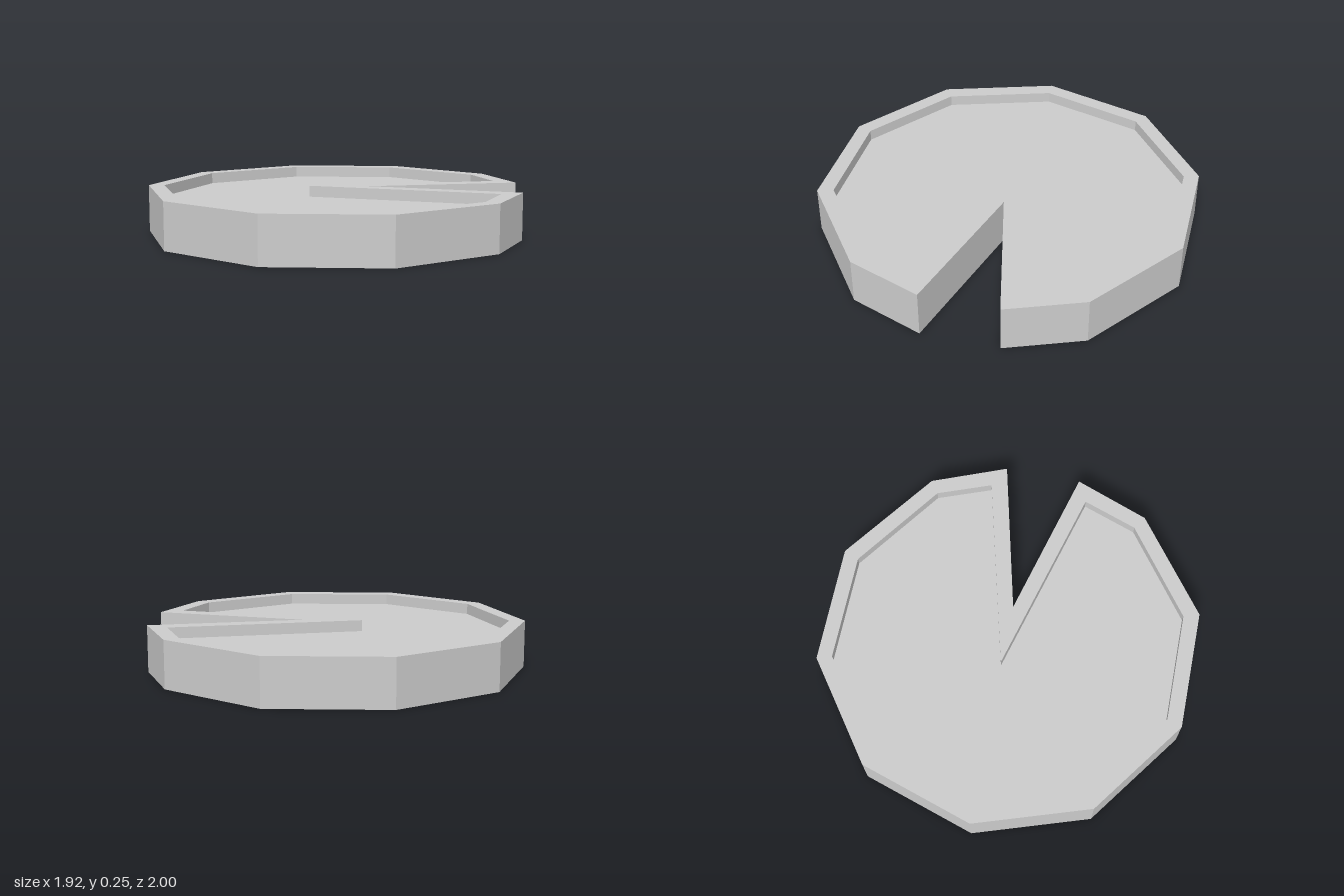
import * as THREE from 'three';

const TOP = 0.245, FLOOR = 0.187;

// Plan outlines as [x, z], clockwise seen from above, with the wedge notch
const outer = [
  [-0.01, -1], [0.575, -0.81], [0.935, -0.31], [0.96, 0.105], [0.15, 0.04], [0.835, 0.485],
  [0.575, 0.805], [-0.01, 1], [-0.6, 0.805], [-0.96, 0.305], [-0.96, -0.31], [-0.6, -0.81],
];
const inner = [
  [-0.01, -0.92], [0.52, -0.745], [0.857, -0.287], [0.87, 0.01], [-0.145, -0.06], [0.71, 0.503],
  [0.525, 0.74], [-0.01, 0.915], [-0.55, 0.74], [-0.88, 0.283], [-0.88, -0.287], [-0.55, -0.745],
];

// Horizontal face at height y, looking up (or down), with an optional hole
function plate(points, y, up = true, hole = null) {
  const toV = ([x, z]) => new THREE.Vector2(x, up ? -z : z);
  const shape = new THREE.Shape(points.map(toV));
  if (hole) shape.holes.push(new THREE.Path(hole.map(toV)));
  return new THREE.ShapeGeometry(shape).rotateX(up ? -Math.PI / 2 : Math.PI / 2).translate(0, y, 0);
}

// Flat-sided wall along a closed outline; clockwise outlines face outward
function wall(points, y0, y1) {
  const pos = [];
  points.forEach(([ax, az], i) => {
    const [bx, bz] = points[(i + 1) % points.length];
    pos.push(bx, y0, bz, ax, y0, az, ax, y1, az);
    pos.push(bx, y0, bz, ax, y1, az, bx, y1, bz);
  });
  const geometry = new THREE.BufferGeometry();
  geometry.setAttribute('position', new THREE.Float32BufferAttribute(pos, 3));
  geometry.computeVertexNormals();
  return geometry;
}

export function createModel() {
  const group = new THREE.Group();
  group.name = 'notchedTray';
  const grey = new THREE.MeshStandardMaterial({ color: 0xcccccc, flatShading: true });
  grey.name = 'light grey';

  const parts = {
    outerWall: wall(outer, 0, TOP),
    rim: plate(outer, TOP, true, inner),
    innerWall: wall([...inner].reverse(), FLOOR, TOP),
    trayFloor: plate(inner, FLOOR),
    underside: plate(outer, 0, false),
  };
  for (const [name, geometry] of Object.entries(parts)) {
    const mesh = new THREE.Mesh(geometry, grey);
    mesh.name = name;
    group.add(mesh);
  }
  return group;
}
